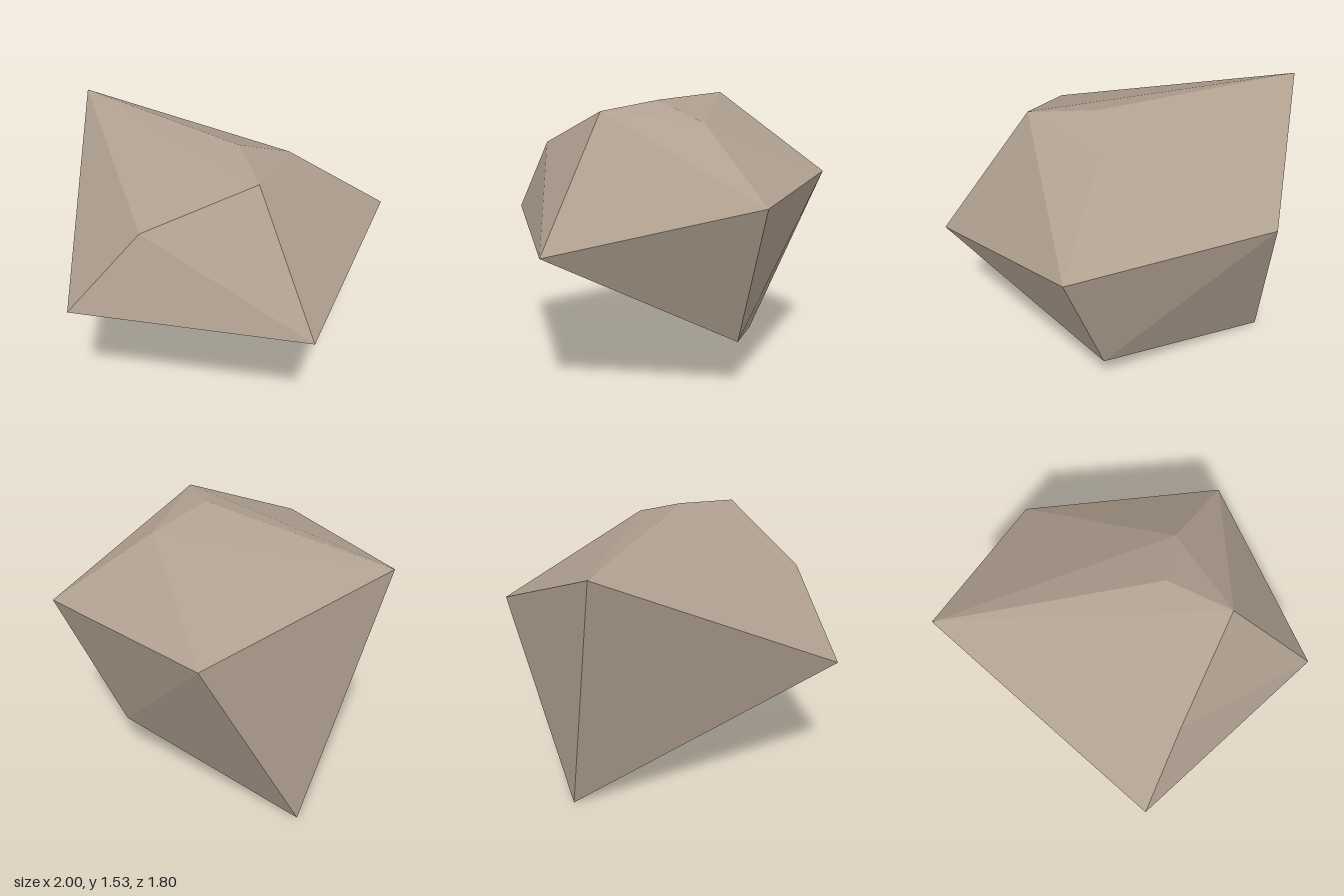
import * as THREE from 'three';
import { ConvexGeometry } from 'three/addons/geometries/ConvexGeometry.js';

export function createModel() {
  const model = new THREE.Group();
  model.name = 'boulder';

  const stone = new THREE.MeshStandardMaterial({ color: 0xb0a090 });
  stone.name = 'warm grey stone';

  // Corners of the faceted rock
  const corners = [
    // crown
    [-1, 1.51, -0.11], [0.2, 1.53, -0.12], [0.51, 1.485, 0.085], [0.31, 1.42, -0.42],
    // front ridge
    [0.15, 1.27, 0.585], [-0.085, 0.835, 0.9],
    // sides and back
    [1, 0.8, 0.2], [0.67, 1.06, -0.855], [-0.46, 1.095, -0.905],
    // underside
    [0.385, 0.28, -0.64], [-0.71, 0, -0.42],
  ].map((c) => new THREE.Vector3(...c));

  // Separate normals on every facet keep the chipped edges sharp
  const rock = new THREE.Mesh(new ConvexGeometry(corners), stone);
  rock.name = 'rock';
  model.add(rock);
  return model;
}
